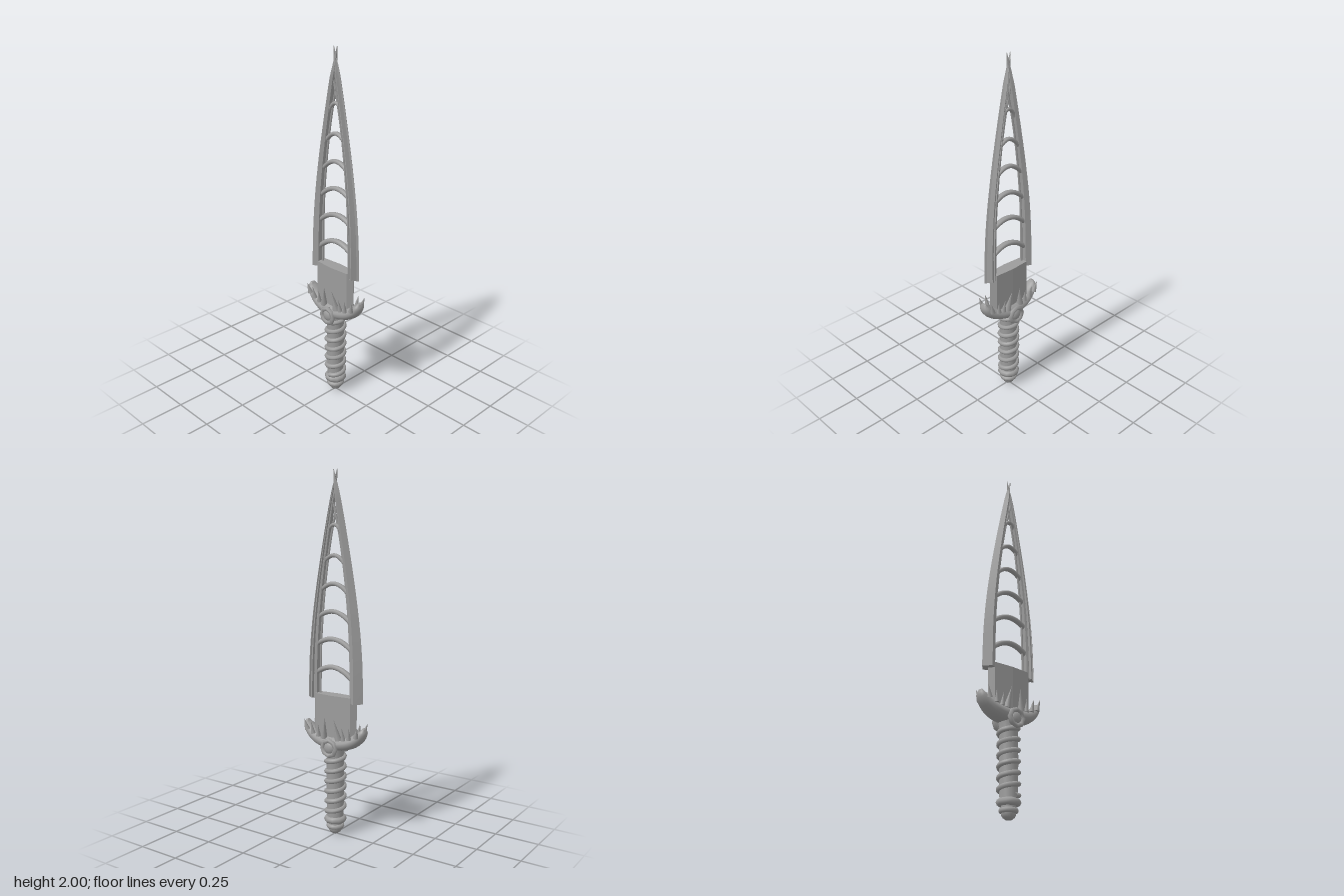
import * as THREE from 'three';
import { toCreasedNormals } from 'three/addons/utils/BufferGeometryUtils.js';

const steel = new THREE.MeshStandardMaterial({ color: 0x9c9c9c });
steel.name = 'grey steel';
const V = (x, y, z = 0) => new THREE.Vector3(x, y, z);

function add(parent, name, geometry, x = 0, y = 0, z = 0) {
  const mesh = new THREE.Mesh(geometry, steel);
  mesh.name = name;
  mesh.position.set(x, y, z);
  parent.add(mesh);
  return mesh;
}

// Skin between cross-sections; each runs counter-clockwise seen from the far end.
function loft(rings, crease) {
  const n = rings[0].length, pos = [];
  const tri = (...pts) => pts.forEach(p => pos.push(p.x, p.y, p.z));
  for (let i = 0; i < rings.length - 1; i++) {
    const a = rings[i], b = rings[i + 1];
    for (let j = 0; j < n; j++) {
      const k = (j + 1) % n;
      tri(a[j], a[k], b[k]);
      tri(a[j], b[k], b[j]);
    }
  }
  const middle = r => r.reduce((s, p) => s.add(p), V(0, 0)).divideScalar(n);
  const first = rings[0], last = rings[rings.length - 1];
  const m0 = middle(first), m1 = middle(last);
  for (let j = 0; j < n; j++) {
    const k = (j + 1) % n;
    tri(m0, first[k], first[j]);
    tri(m1, last[j], last[k]);
  }
  const g = new THREE.BufferGeometry();
  g.setAttribute('position', new THREE.Float32BufferAttribute(pos, 3));
  g.computeVertexNormals();
  return toCreasedNormals(g, crease);
}

// Blade edge: outer x, height, inner x
const edge = new THREE.CatmullRomCurve3([
  V(0.18, 0.77, 0.112), V(0.173, 1, 0.108), V(0.154, 1.2, 0.097), V(0.124, 1.4, 0.076),
  V(0.087, 1.6, 0.047), V(0.046, 1.8, 0.014), V(0.022, 1.9, -0.003), V(-0.01, 2, -0.013),
]);

// section: [fraction from outer to inner edge, fraction of half thickness], one face
function rail(section, side) {
  const rings = [];
  for (let i = 0; i <= 28; i++) {
    const p = edge.getPoint(i / 28);
    const t = p.y < 1.85 ? 0.04 - 0.017 * (p.y - 0.77) : 0.0216 - 0.13 * (p.y - 1.85);
    const at = ([u, w], s) => V(side * (p.x + (p.z - p.x) * u), p.y, s * w * Math.max(t, 0.002));
    const ring = [V(side * p.x, p.y), ...section.map(q => at(q, -1)),
      ...section.slice().reverse().map(q => at(q, 1))];
    rings.push(side > 0 ? ring : ring.reverse());
  }
  return loft(rings, 0.35);
}

export function createModel() {
  const model = new THREE.Group();
  model.name = 'dagger';

  // Blade edges: one solid, one grooved lengthwise
  add(model, 'solidBladeEdge', rail([[0.55, 1], [1, 0.6]], -1));
  add(model, 'groovedBladeEdge', rail([
    [0.15, 0.25], [0.2, 0.12], [0.3, 0.5], [0.38, 0.25], [0.5, 0.72],
    [0.62, 0.72], [0.66, 0.35], [0.78, 0.35], [0.82, 0.62], [1, 0.5],
  ], 1));

  // Thin rods inside the edges
  for (const s of [-1, 1]) {
    const path = new THREE.CatmullRomCurve3([
      V(s * 0.1, 0.79), V(s * 0.093, 1.1), V(s * 0.066, 1.4), V(s * 0.028, 1.65), V(-s * 0.015, 1.84)]);
    add(model, 'innerRod', new THREE.TubeGeometry(path, 20, 0.006, 5));
  }

  // Arched ribs: left end height, peak, right end height, half width
  const ribs = [[0.88, 0.95, 0.91, 0.125], [1.04, 1.105, 1.07, 0.12], [1.19, 1.255, 1.22, 0.11],
    [1.35, 1.405, 1.37, 0.088], [1.5, 1.555, 1.52, 0.07], [1.665, 1.715, 1.685, 0.044]];
  ribs.forEach(([l, peak, r, w], i) => {
    const path = new THREE.QuadraticBezierCurve3(V(-w, l), V(0, 2 * peak - (l + r) / 2), V(w, r));
    add(model, 'rib', new THREE.TubeGeometry(path, 14, 0.014 - i * 0.0007, 8)).scale.z = 1.3;
  });

  // Blade base: faceted plate
  const half = [[0.14, 0], [0.115, -0.028], [0, -0.036], [-0.115, -0.028]];
  const plate = [...half, ...half.map(([x, z]) => [-x, -z])];
  add(model, 'bladeBase', loft([0.54, 0.8].map(y => plate.map(([x, z]) => V(x, y, z))), 0.1));

  // Crescent guard
  const arm = [[0, 0.532, 0.042, 0.068], [0.06, 0.536, 0.04, 0.064], [0.115, 0.552, 0.036, 0.055],
    [0.158, 0.58, 0.03, 0.044], [0.182, 0.612, 0.022, 0.034], [0.187, 0.637, 0.008, 0.014]];
  const stations = [...arm.slice(1).reverse().map(([x, ...r]) => [-x, ...r]), ...arm];
  const spine = new THREE.CatmullRomCurve3(stations.map(([x, y]) => V(x, y)));
  const radii = new THREE.CatmullRomCurve3(stations.map(([, , a, b]) => V(a, b)));
  const rings = [];
  for (let i = 0; i <= 32; i++) {
    const c = spine.getPoint(i / 32), t = spine.getTangent(i / 32), r = radii.getPoint(i / 32);
    rings.push(Array.from({ length: 14 }, (_, j) => {
      const q = j / 14 * Math.PI * 2, n = r.x * Math.cos(q);
      return V(c.x - t.y * n, c.y + t.x * n, r.y * Math.sin(q));
    }));
  }
  add(model, 'guard', loft(rings, 0.9));

  // Teeth on the guard: x, base y, z, height, radius, sideways lean
  const teeth = [[0.048, 0.56, 0.043, 0.12, 0.02, 0.16], [0.082, 0.565, 0.046, 0.075, 0.014, 0.05],
    [0.118, 0.575, 0.047, 0.07, 0.014, -0.1], [0.16, 0.59, 0.042, 0.065, 0.015, -0.25]];
  for (const sx of [-1, 1]) for (const sz of [-1, 1]) {
    for (const [x, y, z, h, r, lean] of teeth) {
      const g = new THREE.ConeGeometry(r, h, 7).translate(0, h / 2, 0);
      add(model, 'tooth', g, sx * x, y, sz * z).rotation.set(sz * 0.15, 0, sx * lean);
    }
  }

  // Round bosses on both faces of the guard
  for (const s of [-1, 1]) {
    const boss = new THREE.Group();
    boss.name = 'guardBoss';
    boss.position.set(0, 0.512, s * 0.055);
    if (s < 0) boss.rotation.y = Math.PI;
    model.add(boss);
    add(boss, 'bossRing', new THREE.TorusGeometry(0.043, 0.014, 6, 8), 0, 0, 0.008);
    add(boss, 'bossStone', new THREE.SphereGeometry(0.036, 14, 8)).scale.z = 0.6;
  }

  // Grip core with spiral wrap
  const lathe = pts => toCreasedNormals(
    new THREE.LatheGeometry(pts.map(([x, y]) => new THREE.Vector2(x, y)), 18), 0.6);
  add(model, 'gripCore', lathe([[0, 0.09], [0.046, 0.09], [0.05, 0.3], [0.048, 0.46], [0.056, 0.52], [0, 0.53]]));
  const turns = 6.5;
  const helix = Array.from({ length: 105 }, (_, i) => {
    const a = i / 104 * turns * Math.PI * 2;
    return V(0.05 * Math.sin(a), 0.115 + 0.375 * i / 104, 0.05 * Math.cos(a));
  });
  add(model, 'gripWrap', new THREE.TubeGeometry(new THREE.CatmullRomCurve3(helix), 200, 0.0135, 7));

  // Pommel: collar, small ring and rounded end
  add(model, 'pommelCollar', new THREE.TorusGeometry(0.044, 0.02, 8, 10).rotateX(Math.PI / 2), 0, 0.088, 0);
  add(model, 'pommelRing', new THREE.TorusGeometry(0.037, 0.014, 8, 14).rotateX(Math.PI / 2), 0, 0.047, 0);
  add(model, 'pommelEnd', lathe([[0, 0], [0.016, 0.003], [0.03, 0.013], [0.037, 0.026], [0.04, 0.045], [0.036, 0.1], [0, 0.1]]));

  return model;
}
